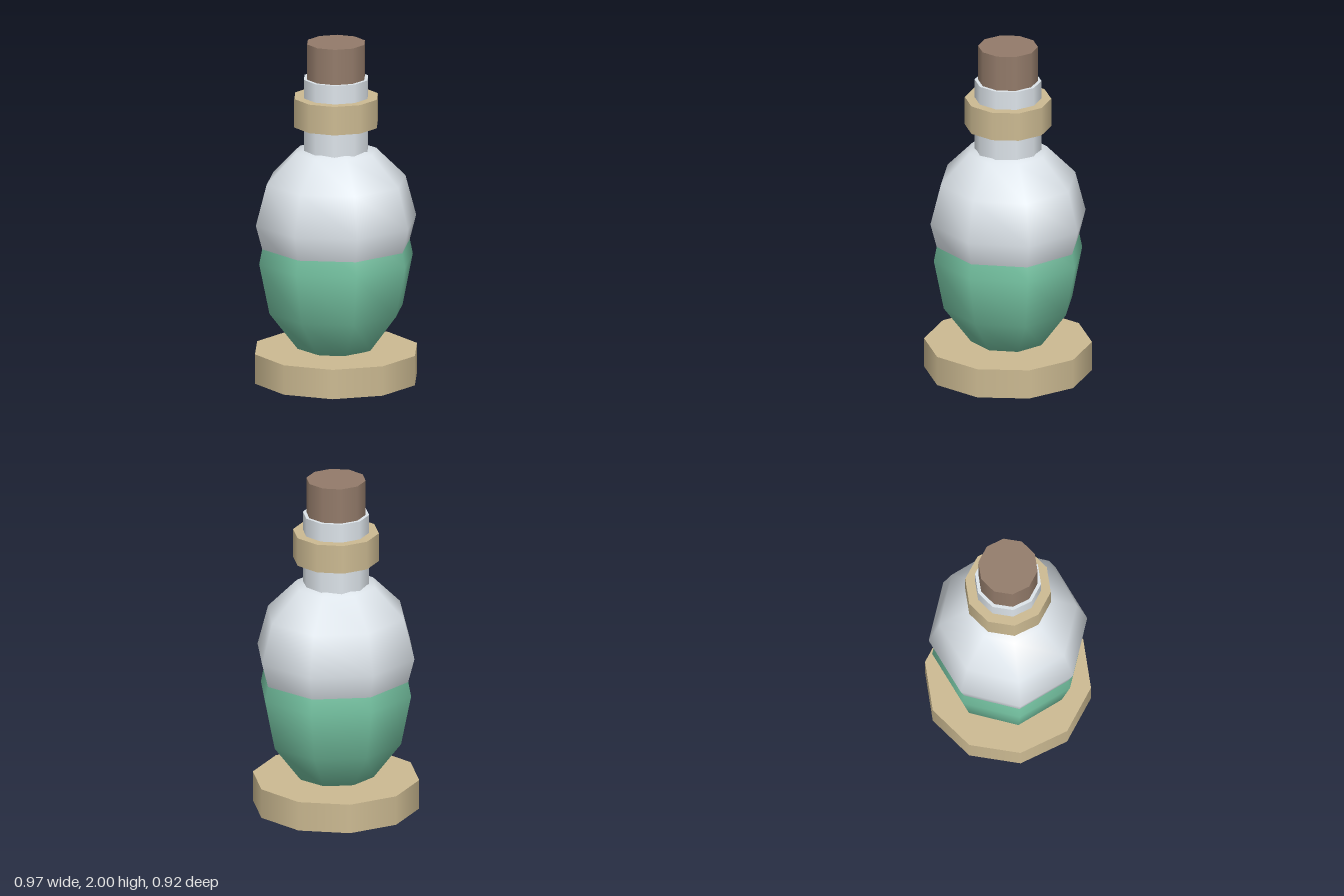
import * as THREE from 'three';

const material = (color) => new THREE.MeshStandardMaterial({ color });

export function createModel() {
  const model = new THREE.Group();
  const glass = material(0xdde4ea);
  const liquid = material(0x78c8a6);
  const trim = material(0xccba92);
  const cork = material(0x937b6a);

  // Ten-sided drum between two heights, with corners on the x axis
  function drum(name, radius, bottom, top, mat) {
    const geometry = new THREE.CylinderGeometry(radius, radius, top - bottom, 10);
    geometry.rotateY(Math.PI / 2);
    const mesh = new THREE.Mesh(geometry, mat);
    mesh.name = name;
    mesh.position.y = (bottom + top) / 2;
    model.add(mesh);
  }

  // Eight-sided smooth bulb, stretched along each axis
  function bulb(name, rx, ry, rz, y, mat) {
    const mesh = new THREE.Mesh(new THREE.SphereGeometry(1, 8, 6), mat);
    mesh.name = name;
    mesh.scale.set(rx, ry, rz);
    mesh.position.y = y;
    model.add(mesh);
  }

  // Stand
  drum('base', 0.485, 0, 0.175, trim);

  // Body: the liquid bulb overlaps the glass bulb, meeting at y = 0.8
  bulb('liquid', 0.46, 0.6, 0.442, 0.71, liquid);
  bulb('glassBody', 0.48, 0.48, 0.462, 0.94, glass);

  // Neck, collar and stopper
  drum('neck', 0.193, 1.3, 1.79, glass);
  drum('collar', 0.25, 1.51, 1.68, trim);
  drum('stopper', 0.173, 1.7, 2, cork);

  return model;
}
